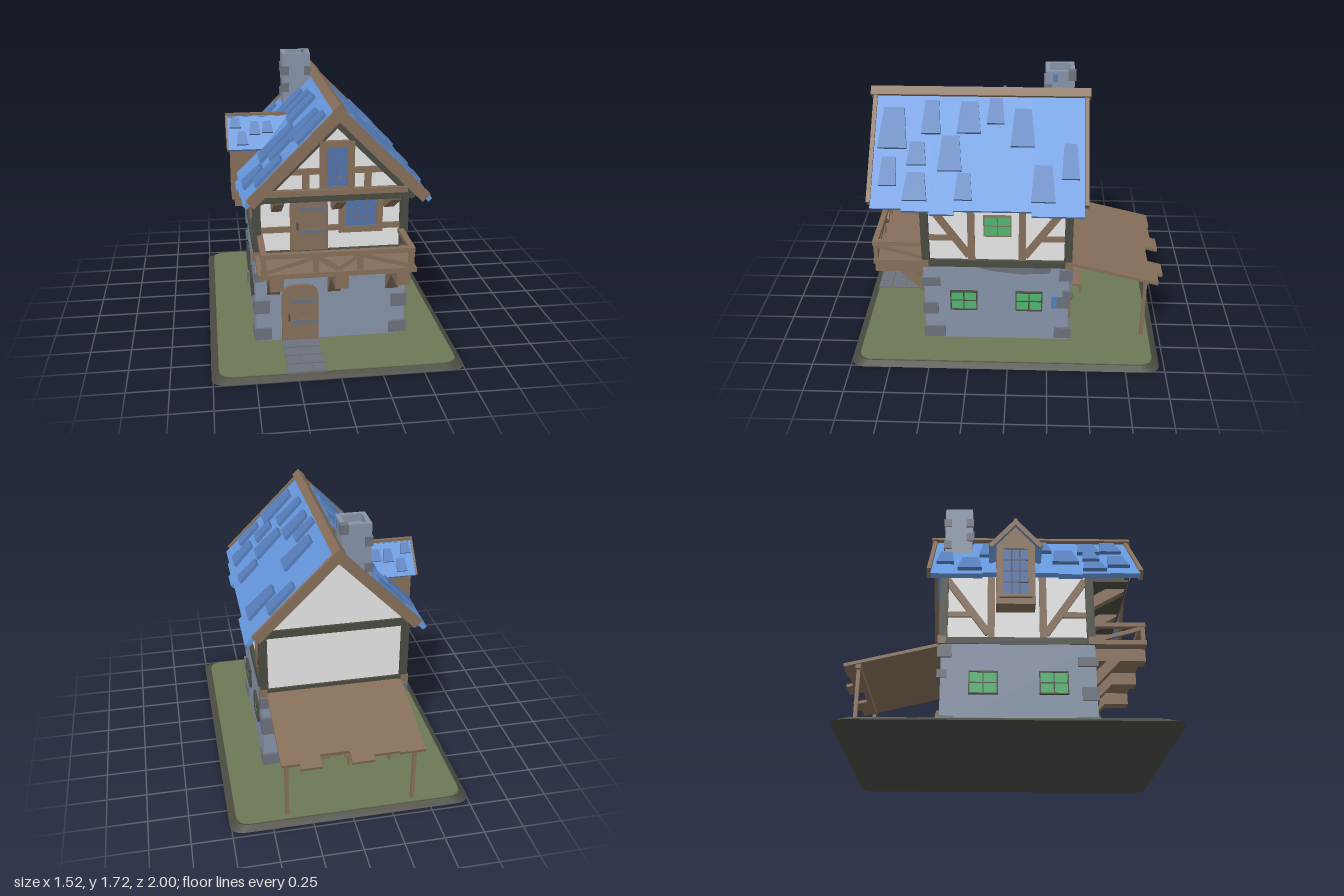
import * as THREE from 'three';

const mat = (name, color) => Object.assign(new THREE.MeshStandardMaterial({ color }), { name });
const M = {
  stone: mat('stone', 0x8694a9), block: mat('stone block', 0x6c727c), plaster: mat('plaster', 0xe6e6e6),
  wood: mat('timber', 0x866f5a), dark: mat('dark timber', 0x494b41), roof: mat('roof blue', 0x6597dc),
  tile: mat('roof tile', 0x567eba), grass: mat('grass', 0x6b7855), glass: mat('blue glass', 0x5174ae),
  green: mat('green glass', 0x52b470),
};

function mesh(parent, name, geo, m, x = 0, y = 0, z = 0) {
  const o = new THREE.Mesh(geo, m);
  o.name = name;
  o.position.set(x, y, z);
  parent.add(o);
  return o;
}
const box = (p, name, m, w, h, d, x, y, z) => mesh(p, name, new THREE.BoxGeometry(w, h, d), m, x, y, z);
// box given by its limits
const span = (p, name, m, x0, x1, y0, y1, z0, z1) =>
  box(p, name, m, x1 - x0, y1 - y0, z1 - z0, (x0 + x1) / 2, (y0 + y1) / 2, (z0 + z1) / 2);
// beam between two points of the xy plane
function beam(p, name, m, x0, y0, x1, y1, t, d, z = 0) {
  const b = box(p, name, m, Math.hypot(x1 - x0, y1 - y0), t, d, (x0 + x1) / 2, (y0 + y1) / 2, z);
  b.rotation.z = Math.atan2(y1 - y0, x1 - x0);
  return b;
}
const poly = pts => new THREE.Shape(pts.map(p => new THREE.Vector2(...p)));
const extrude = (shape, depth) => new THREE.ExtrudeGeometry(shape, { depth, bevelEnabled: false, curveSegments: 6 });
// side profile in (z, y), centred on x
const sideProfile = (pts, w) => extrude(poly(pts), w).rotateY(-Math.PI / 2).translate(w / 2, 0, 0);

function group(parent, name, x = 0, y = 0, z = 0, ry = 0) {
  const g = new THREE.Group();
  g.name = name;
  g.position.set(x, y, z);
  g.rotation.y = ry;
  parent.add(g);
  return g;
}

// window facing local +z
function windowUnit(p, name, x, y, z, w, h, f, frameMat, paneMat, barMat, cols, rows) {
  const g = group(p, name, x, y, z);
  box(g, 'pane', paneMat, w, h, 0.01, 0, 0, 0.005);
  for (const s of [-1, 1]) {
    box(g, 'frameSide', frameMat, f, h + 2 * f, 0.03, s * (w + f) / 2, 0, 0.003);
    box(g, 'frameRail', frameMat, w, f, 0.03, 0, s * (h + f) / 2, 0.003);
  }
  for (let i = 1; i < cols; i++) box(g, 'bar', barMat, 0.007, h, 0.006, -w / 2 + w * i / cols, 0, 0.009);
  for (let i = 1; i < rows; i++) box(g, 'bar', barMat, w, 0.007, 0.006, 0, -h / 2 + h * i / rows, 0.009);
}

// round-shouldered door facing local +z
function arch(w, h, r) {
  const s = new THREE.Shape();
  s.moveTo(-w / 2, 0).lineTo(w / 2, 0).lineTo(w / 2, h - r);
  s.quadraticCurveTo(w / 2, h, w / 2 - r, h).lineTo(-w / 2 + r, h).quadraticCurveTo(-w / 2, h, -w / 2, h - r);
  return s;
}
function door(p, name, x, y, z, ry = 0) {
  const g = group(p, name, x, y, z, ry);
  const frame = arch(0.23, 0.385, 0.09);
  frame.holes.push(arch(0.212, 0.376, 0.083));
  mesh(g, 'doorFrame', extrude(frame, 0.025), M.wood);
  mesh(g, 'doorLeaf', extrude(arch(0.212, 0.376, 0.083), 0.018), M.wood);
  for (const hy of [0.13, 0.275]) box(g, 'hinge', M.block, 0.16, 0.03, 0.006, 0.025, hy, 0.02);
  box(g, 'handle', M.dark, 0.01, 0.045, 0.03, -0.07, 0.17, 0.022);
}

// roof slope: local y runs uphill, local z is the normal, origin on the ridge
function slope(p, name, x, y, z, ry, a) {
  const g = group(p, name, x, y, z);
  g.rotation.set(a - Math.PI / 2, ry, 0, 'YXZ');
  return g;
}
function tile(p, u, d0, d1, hw, t = 0.022) {
  const s = poly([[u - hw, -d1], [u + hw, -d1], [u + hw * 0.7, -d0], [u - hw * 0.7, -d0]]);
  mesh(p, 'roofTile', extrude(s, t), M.tile);
}

function ground(root) {
  const slab = (w, d, h) => {
    const s = new THREE.Shape(), a = w / 2, b = d / 2, r = 0.09;
    s.moveTo(-a + r, -b).lineTo(a - r, -b).quadraticCurveTo(a, -b, a, -b + r).lineTo(a, b - r);
    s.quadraticCurveTo(a, b, a - r, b).lineTo(-a + r, b).quadraticCurveTo(-a, b, -a, b - r);
    s.lineTo(-a, -b + r).quadraticCurveTo(-a, -b, -a + r, -b);
    return extrude(s, h).rotateX(-Math.PI / 2);
  };
  const earth = slab(1.52, 1.97, 0.024), p = earth.attributes.position;
  for (let i = 0; i < p.count; i++) if (p.getY(i) > 0.01) p.setXYZ(i, p.getX(i) * 0.95, p.getY(i), p.getZ(i) * 0.96);
  earth.computeVertexNormals();
  mesh(root, 'groundRim', earth, M.dark, 0, 0, 0.015);
  mesh(root, 'grass', slab(1.43, 1.88, 0.006), M.grass, 0, 0.023, 0.015);
  // stepping stones
  for (let r = 0; r < 4; r++) for (let c = 0; c < 2; c++) {
    const cut = r % 2 ? -0.16 : -0.22, x0 = c ? cut + 0.005 : -0.31, x1 = c ? -0.085 : cut;
    span(root, 'pathStone', M.block, x0, x1, 0.02, 0.036, 0.57 + r * 0.1, 0.66 + r * 0.1);
  }
}

function walls(root) {
  span(root, 'stoneStorey', M.stone, -0.47, 0.47, 0.02, 0.6, -0.385, 0.545);
  const house = [[-0.45, 0.6], [0.45, 0.6], [0.45, 1.08], [0, 1.53], [-0.45, 1.08]];
  mesh(root, 'upperStorey', extrude(poly(house), 0.9), M.plaster, 0, 0, -0.38);
  mesh(root, 'atticFront', extrude(poly([[-0.45, 1.05], [0.45, 1.05], [0.45, 1.08], [0, 1.53], [-0.45, 1.08]]), 0.25), M.plaster, 0, 0, 0.51);
  span(root, 'floorBeam', M.dark, -0.475, 0.475, 0.585, 0.63, -0.395, 0.55);
  span(root, 'atticFloorBeam', M.dark, -0.46, 0.46, 1.025, 1.07, 0.5, 0.775);
  span(root, 'backBeam', M.dark, -0.46, 0.46, 1.0, 1.05, -0.395, -0.37);
  // corner posts and stone corner blocks: y, height, length along x, length along z
  const front = [[0.08, 0.08, 0.11, 0.14], [0.265, 0.085, 0.1, 0.1], [0.47, 0.06, 0.07, 0.12]];
  const back = [[0.085, 0.08, 0.12, 0.11], [0.39, 0.05, 0.1, 0.06], [0.535, 0.08, 0.07, 0.085]];
  for (const s of [-1, 1]) for (const [z, dir, set] of [[0.525, 1, front], [-0.375, -1, back]]) {
    box(root, 'cornerPost', M.dark, 0.05, 0.44, 0.05, s * 0.453, 0.82, z);
    box(root, 'beamEnd', M.wood, 0.05, 0.05, 0.05, s * 0.46, 0.61, z + dir * 0.007);
    for (const [y, h, lx, lz] of set)
      box(root, 'cornerBlock', M.block, lx, h, lz, s * (0.483 - lx / 2), y, z + dir * (0.032 - lz / 2));
  }
  span(root, 'cornerBlock', M.block, 0.4, 0.478, 0.28, 0.365, -0.393, -0.31);
  span(root, 'blueBlock', M.tile, 0.4, 0.478, 0.28, 0.37, -0.31, -0.275);
  // weathered patch of stone under the floor beam
  const patch = poly([[-0.22, 0.585], [-0.1, 0.555], [0.08, 0.535], [0.26, 0.545], [0.27, 0.585]]);
  mesh(root, 'stonePatch', extrude(patch, 0.004).rotateY(Math.PI / 2), M.block, 0.469);
  // timbering and windows of both long sides
  for (const s of [1, -1]) {
    const g = group(root, s > 0 ? 'leftSide' : 'rightSide', s * 0.45, 0, 0, s * Math.PI / 2);
    const b = (x0, y0, x1, y1, t) => beam(g, 'sideTimber', M.wood, s * x0, y0, s * x1, y1, t, 0.03);
    for (const x of [-0.235, 0.085]) b(x, 0.63, x, 1.06, 0.045);
    b(-0.5, 1.03, -0.25, 0.66, 0.045);
    b(0.36, 1.03, 0.1, 0.66, 0.045);
    b(-0.5, 0.79, -0.35, 0.79, 0.035);
    b(0.2, 0.79, 0.35, 0.79, 0.035);
    for (const x of [-0.29, 0.13])
      windowUnit(g, 'lowerWindow', s * x, 0.332, 0.02, 0.16, 0.13, 0.007, M.dark, M.green, M.dark, 2, 2);
    if (s > 0) windowUnit(g, 'upperWindow', -0.07, 0.88, 0, 0.16, 0.132, 0.007, M.wood, M.green, M.wood, 2, 2);
  }
}

function facade(root) {
  door(root, 'frontDoor', -0.195, 0.025, 0.545);
  door(root, 'balconyDoor', -0.135, 0.62, 0.52);
  door(root, 'backDoor', 0.15, 0.025, -0.385, Math.PI);
  windowUnit(root, 'balconyWindow', 0.185, 0.89, 0.525, 0.19, 0.23, 0.04, M.wood, M.glass, M.block, 3, 4);
  for (const [a, b] of [[-0.43, -0.25], [-0.02, 0.06], [0.31, 0.43]])
    span(root, 'wallRail', M.wood, a, b, 0.75, 0.785, 0.51, 0.535);
  // front gable
  const g = group(root, 'gable', 0, 0, 0.765);
  for (const s of [-1, 1]) {
    beam(g, 'darkRafter', M.dark, s * 0.46, 1.04, 0, 1.5, 0.06, 0.03);
    box(g, 'gableStud', M.wood, 0.04, 0.1, 0.025, s * 0.18, 1.145, 0);
    span(g, 'gableRail', M.wood, s > 0 ? 0.09 : -0.31, s > 0 ? 0.31 : -0.09, 1.19, 1.225, -0.012, 0.012);
  }
  box(g, 'gableBeam', M.wood, 0.82, 0.035, 0.04, 0, 1.085, 0.01);
  windowUnit(g, 'gableWindow', 0, 1.23, 0.005, 0.12, 0.23, 0.04, M.wood, M.glass, M.block, 2, 4);
  // brackets under the gable
  const bracket = [[0.52, 0.9], [0.57, 0.9], [0.76, 1.01], [0.775, 1.06], [0.7, 1.06], [0.52, 0.95]];
  for (const x of [-0.335, 0.03, 0.35]) mesh(root, 'gableBracket', sideProfile(bracket, 0.06), M.wood, x);
}

function balcony(root) {
  const g = group(root, 'balcony');
  span(g, 'balconyFloor', M.wood, -0.47, 0.465, 0.59, 0.62, 0.54, 0.86);
  const corbel = [[0.54, 0.34], [0.7, 0.51], [0.86, 0.51], [0.86, 0.6], [0.54, 0.6], [0.54, 0.51], [0.62, 0.51], [0.54, 0.43]];
  for (const x of [-0.36, 0.02, 0.385]) mesh(g, 'corbel', sideProfile(corbel, 0.08), M.wood, x);
  box(g, 'frontRail', M.wood, 0.9, 0.028, 0.035, 0, 0.732, 0.845);
  for (const x of [-0.435, -0.13, 0.13, 0.435]) box(g, 'railPost', M.wood, 0.03, 0.13, 0.025, x, 0.67, 0.845);
  for (const s of [-1, 1]) {
    beam(g, 'railBrace', M.wood, s * 0.42, 0.632, s * 0.14, 0.712, 0.025, 0.02, 0.845);
    beam(g, 'railBrace', M.wood, s * 0.12, 0.712, 0, 0.632, 0.025, 0.02, 0.845);
    const side = group(g, 'sideRail', s * 0.435, 0, 0, Math.PI / 2);
    beam(side, 'rail', M.wood, -0.86, 0.732, -0.53, 0.732, 0.028, 0.035);
    beam(side, 'brace', M.wood, -0.84, 0.712, -0.56, 0.632, 0.025, 0.02);
  }
}

function mainRoof(root) {
  const R = Math.SQRT2;
  // tiles: z, horizontal start and end, half width
  const left = [[.725, .085, .275, .09], [.49, .05, .205, .06], [.255, .055, .2, .075], [.09, .035, .155, .055],
    [-.08, .085, .26, .075], [.74, .315, .445, .055], [.57, .245, .35, .06], [.365, .215, .375, .075],
    [.57, .385, .51, .075], [.275, .385, .505, .055], [-.21, .345, .51, .075], [-.375, .245, .405, .055]];
  const right = [[-.38, .25, .42, .055], [-.22, .35, .52, .075], [-.09, .1, .3, .075], [.07, .07, .21, .055],
    [.24, .06, .22, .075], [.39, .21, .41, .085], [.56, .08, .24, .075], [.56, .41, .52, .075],
    [.56, .24, .36, .055], [.71, .06, .22, .07], [.72, .31, .46, .07]];
  // uneven eaves: z limits and reach
  const strips = [[-.46, -.14, .57], [-.14, .33, .55], [.33, .48, .568], [.48, .65, .555], [.65, .84, .545]];
  for (const s of [1, -1]) {
    const g = slope(root, s > 0 ? 'roofLeft' : 'roofRight', 0, 1.585, 0, s * Math.PI / 2, Math.PI / 4);
    for (const [z0, z1, reach] of strips)
      box(g, 'roofStrip', M.roof, z1 - z0, reach * R, 0.03, -s * (z0 + z1) / 2, -reach * R / 2, -0.015);
    for (const [z, a, b, hw] of s > 0 ? left : right) tile(g, -s * z, a * R, b * R, hw);
    for (const z of [-0.475, 0.85]) box(g, 'bargeBoard', M.wood, 0.026, 0.735, 0.065, -s * z, -0.3675, -0.02);
  }
  const ridge = box(root, 'ridgeBeam', M.wood, 0.058, 0.058, 1.38, 0, 1.577, 0.19);
  ridge.rotation.z = Math.PI / 4;
}

function dormer(root) {
  const g = group(root, 'dormer', -0.568, 0, 0.065, -Math.PI / 2);
  const body = [[-0.12, 0.81], [0.12, 0.81], [0.12, 1.22], [0, 1.355], [-0.12, 1.22]];
  mesh(g, 'dormerBody', extrude(poly(body), 0.3), M.wood, 0, 0, -0.3);
  windowUnit(g, 'dormerWindow', 0, 1.03, 0, 0.15, 0.31, 0.025, M.wood, M.glass, M.dark, 3, 4);
  const a = Math.atan2(0.185, 0.165), len = 0.25;
  for (const s of [1, -1]) {
    const r = slope(root, 'dormerRoof', 0, 1.383, 0.065, s > 0 ? 0 : Math.PI, a);
    box(r, 'dormerSlab', M.roof, 0.4, len, 0.02, -s * 0.4, -len / 2, -0.01);
    for (const [x, d0, d1] of [[-.55, .03, .1], [-.51, .13, .22], [-.43, .06, .15], [-.35, .06, .14]])
      tile(r, s * x, d0, d1, 0.035, 0.014);
    box(r, 'dormerBarge', M.wood, 0.012, len, 0.03, -s * 0.603, -len / 2, -0.01);
  }
  box(root, 'dormerRidge', M.wood, 0.42, 0.018, 0.022, -0.4, 1.382, 0.065);
}

function chimney(root) {
  const g = group(root, 'chimney', -0.125, 0, -0.305);
  const sq = r => [[-r, -r], [r, -r], [r, r], [-r, r]];
  const s = poly(sq(0.092));
  s.holes.push(new THREE.Path(sq(0.065).reverse().map(p => new THREE.Vector2(...p))));
  const shaft = extrude(s, 0.5).rotateX(-Math.PI / 2).translate(0, 1.213, 0), p = shaft.attributes.position;
  // foot follows the roof slope
  for (let i = 0; i < p.count; i++) if (p.getY(i) < 1.3) p.setY(i, 1.435 + p.getX(i));
  mesh(g, 'chimneyShaft', shaft, M.stone);
  box(g, 'chimneyFlue', M.stone, 0.14, 0.01, 0.14, 0, 1.66, 0);
  for (const [x, z, y] of [[-1, -1, 1.6], [1, -1, 1.685], [-1, 1, 1.6], [1, 1, 1.6], [-1, 1, 1.49], [-1, -1, 1.43]])
    box(g, 'chimneyBlock', M.block, 0.05, 0.06, 0.05, x * 0.075, y, z * 0.075);
  box(g, 'blueBlock', M.tile, 0.01, 0.05, 0.03, 0.09, 1.67, 0.03);
}

function porch(root) {
  const g = group(root, 'backPorch', 0, 0.6, -0.385);
  g.rotation.x = -0.24;
  // uneven planks: x limits and length
  for (const [x0, x1, len] of [[-.44, -.28, .6], [-.28, -.12, .59], [-.12, .02, .63], [.02, .2, .54], [.2, .33, .63], [.33, .44, .59]])
    span(g, 'porchPlank', M.wood, x0, x1, -0.012, 0.008, -len, 0);
  box(root, 'porchBeam', M.wood, 0.86, 0.03, 0.03, 0, 0.455, -0.88);
  for (const s of [-1, 1]) box(root, 'porchPost', M.wood, 0.022, 0.43, 0.022, s * 0.4, 0.235, -0.88);
  // bench by the back wall
  const b = group(root, 'bench', -0.22, 0, -0.445);
  box(b, 'benchSeat', M.wood, 0.34, 0.018, 0.09, 0, 0.105, -0.01);
  box(b, 'benchBack', M.wood, 0.34, 0.02, 0.012, 0, 0.165, 0.04);
  for (const x of [-0.14, 0.14]) {
    box(b, 'benchLeg', M.wood, 0.02, 0.08, 0.018, x, 0.06, -0.045);
    box(b, 'benchPost', M.wood, 0.02, 0.17, 0.018, x, 0.11, 0.045);
  }
}

export function createModel() {
  const root = new THREE.Group();
  root.name = 'cottage';
  for (const part of [ground, walls, facade, balcony, mainRoof, dormer, chimney, porch]) part(root);
  return root;
}
